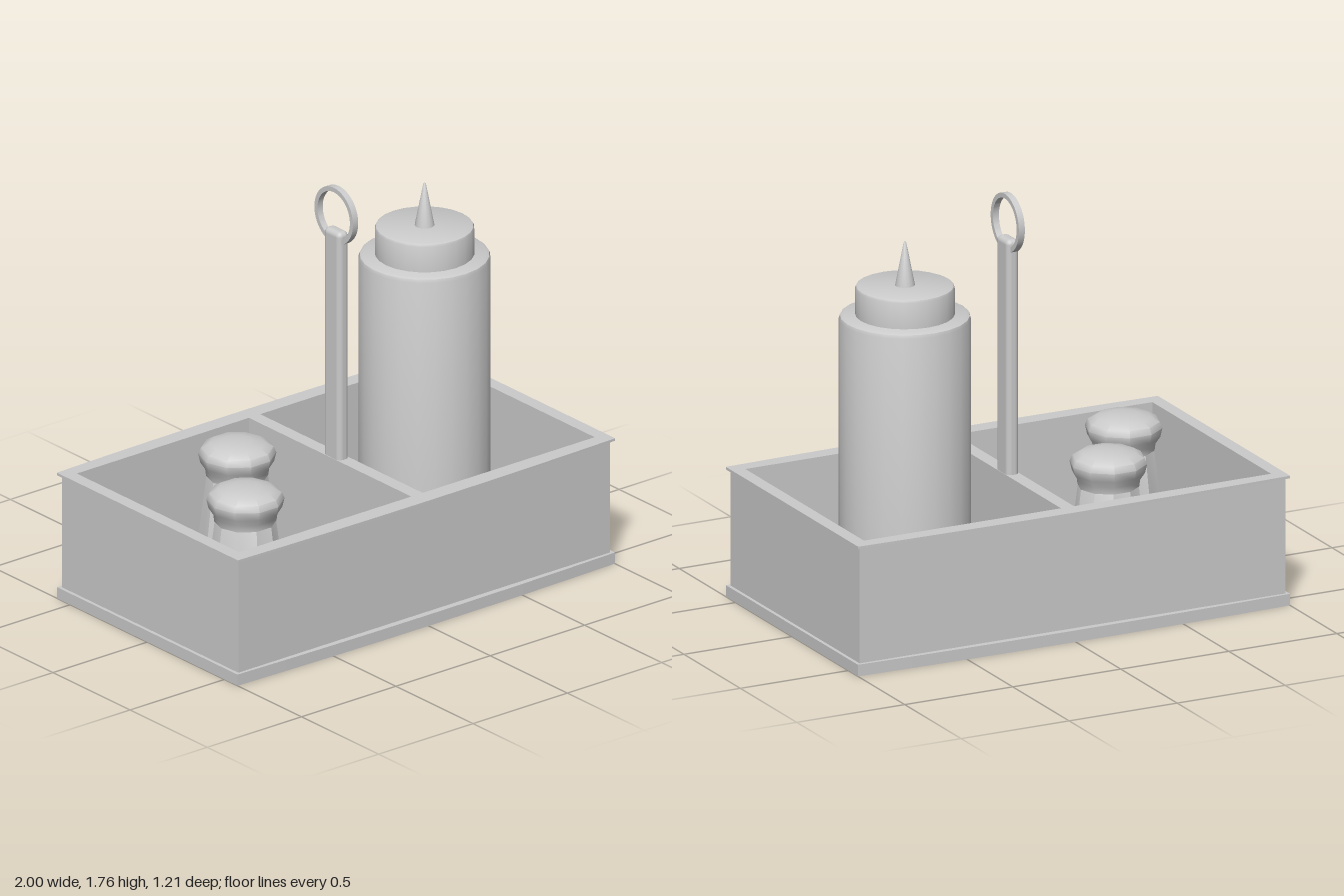
import * as THREE from 'three';
import { RoundedBoxGeometry } from 'three/addons/geometries/RoundedBoxGeometry.js';
import { toCreasedNormals } from 'three/addons/utils/BufferGeometryUtils.js';

const material = new THREE.MeshStandardMaterial({ color: 0xcccccc });

function part(name, geometry, x = 0, y = 0, z = 0) {
  const mesh = new THREE.Mesh(geometry, material);
  mesh.name = name;
  mesh.position.set(x, y, z);
  return mesh;
}

// Profile points run from the bottom up, on the outside of the part.
function turned(points, sides, crease = 0.6) {
  const profile = points.map(([r, y]) => new THREE.Vector2(r, y));
  return toCreasedNormals(new THREE.LatheGeometry(profile, sides), crease);
}

// Tray outline whose long sides bow out slightly.
function outline(halfX, halfZ, bow) {
  const s = new THREE.Shape();
  s.moveTo(-halfX, -halfZ);
  s.quadraticCurveTo(0, -halfZ - 2 * bow, halfX, -halfZ);
  s.lineTo(halfX, halfZ);
  s.quadraticCurveTo(0, halfZ + 2 * bow, -halfX, halfZ);
  s.closePath();
  return s;
}

// The two compartments either side of the divider.
function addCompartments(shape) {
  for (const side of [-1, 1]) {
    const hole = new THREE.Path();
    const a = side * 0.03, b = side * 0.942;
    hole.moveTo(a, -0.525);
    hole.lineTo(a, 0.528);
    hole.lineTo(b, 0.528);
    hole.lineTo(b, -0.525);
    hole.closePath();
    shape.holes.push(hole);
  }
  return shape;
}

function slab(shape, height) {
  return new THREE.ExtrudeGeometry(shape, { depth: height, bevelEnabled: false, curveSegments: 8 })
    .rotateX(-Math.PI / 2);
}

function createTray() {
  const tray = new THREE.Group();
  tray.name = 'tray';
  tray.add(
    part('base', slab(outline(1, 0.585, 0.016), 0.05)),
    part('walls', slab(addCompartments(outline(0.985, 0.572, 0)), 0.5), 0, 0.05, 0),
    part('rim', slab(addCompartments(outline(1, 0.587, 0.016)), 0.011), 0, 0.55, 0)
  );
  return tray;
}

function createHandle() {
  const handle = new THREE.Group();
  handle.name = 'handle';
  const ring = new THREE.Shape().absarc(0, 0, 0.125, 0, Math.PI * 2, false);
  ring.holes.push(new THREE.Path().absarc(0, 0, 0.105, 0, Math.PI * 2, true));
  const ringGeometry = new THREE.ExtrudeGeometry(ring, { depth: 0.028, bevelEnabled: false, curveSegments: 32 })
    .translate(0, 0, -0.014)
    .rotateY(Math.PI / 2);
  handle.add(
    part('post', new RoundedBoxGeometry(0.056, 1.075, 0.106, 4, 0.022), 0, 1.0375, 0.002),
    part('ring', toCreasedNormals(ringGeometry, 0.6), 0, 1.637, 0.002)
  );
  return handle;
}

function createBottle() {
  const bottle = new THREE.Group();
  bottle.name = 'squeezeBottle';
  const body = [[0, 0.05], [0.272, 0.05], [0.272, 1.305], [0.267, 1.319], [0.255, 1.325], [0, 1.325]];
  const lid = [[0.205, 1.32], [0.205, 1.437], [0.201, 1.446], [0.192, 1.45], [0, 1.45]];
  const nozzle = [[0.042, 1.445], [0.006, 1.632], [0, 1.64]];
  bottle.add(
    part('bottleBody', turned(body, 24)),
    part('bottleLid', turned(lid, 24)),
    part('nozzle', turned(nozzle, 16))
  );
  bottle.position.set(0.49, 0, -0.025);
  return bottle;
}

function createShaker(x, z) {
  const shaker = new THREE.Group();
  shaker.name = 'shaker';
  // Ten-sided flared body with flat panels and a domed cap
  const body = [[0, 0.05], [0.184, 0.05], [0.127, 0.5], [0.12, 0.515]];
  const cap = [[0, 0.505], [0.128, 0.505], [0.132, 0.535], [0.152, 0.565], [0.161, 0.603],
    [0.15, 0.63], [0.115, 0.65], [0.06, 0.66], [0, 0.662]];
  shaker.add(
    part('shakerBody', turned(body, 10, 0.3)),
    part('shakerCap', turned(cap, 10, 0.75))
  );
  shaker.rotation.y = Math.PI / 10;
  shaker.position.set(x, 0, z);
  return shaker;
}

export function createModel() {
  const model = new THREE.Group();
  model.name = 'condimentCaddy';
  model.add(
    createTray(),
    createHandle(),
    createBottle(),
    createShaker(-0.36, -0.2),
    createShaker(-0.633, 0.187)
  );
  return model;
}
